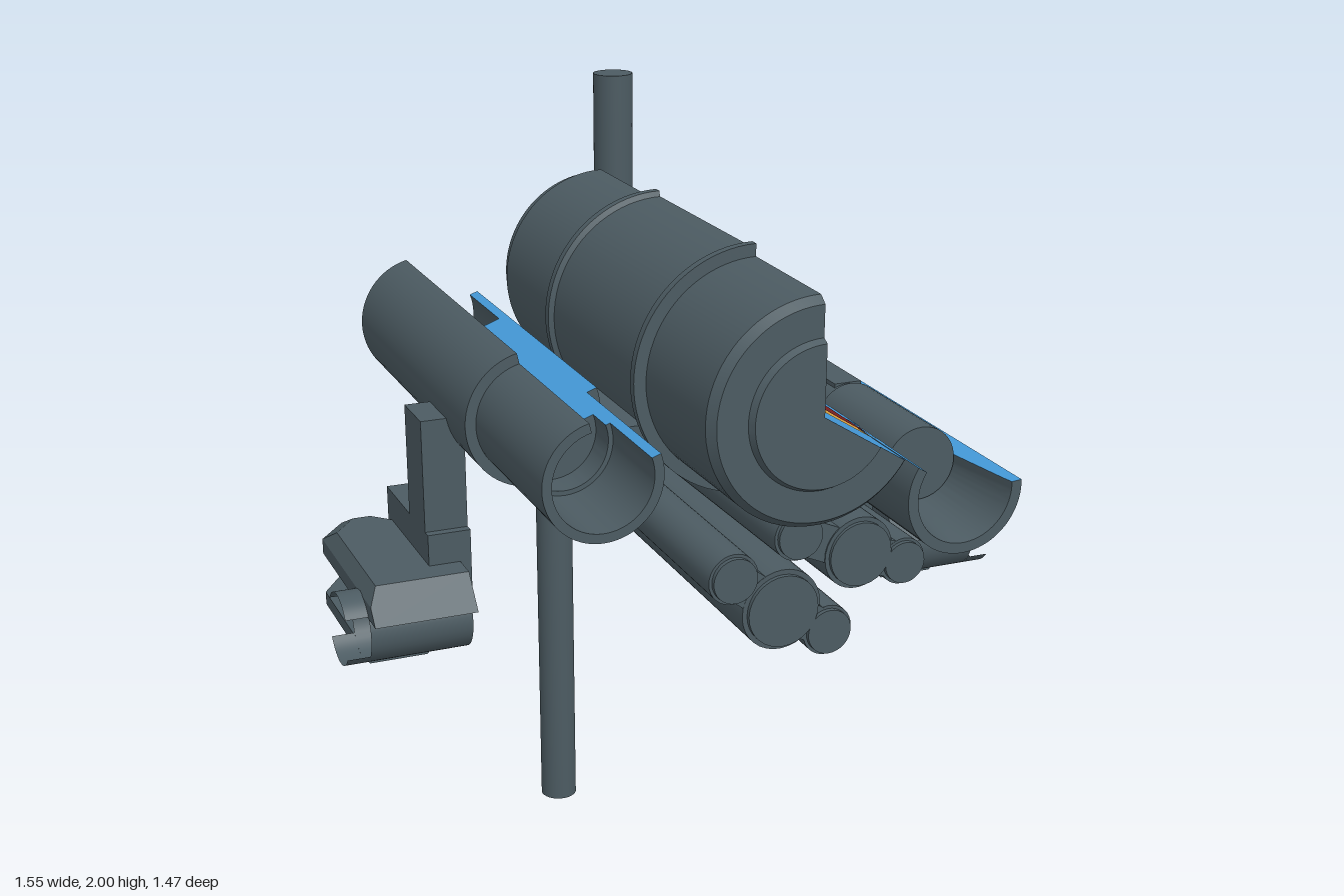
import * as THREE from 'three';
import { toCreasedNormals } from 'three/addons/utils/BufferGeometryUtils.js';
import { ConvexGeometry } from 'three/addons/geometries/ConvexGeometry.js';

const flat = (name, color) => Object.assign(
  new THREE.MeshStandardMaterial({ color, side: THREE.DoubleSide }), { name });
const V = (x, y, z) => new THREE.Vector3(x, y, z);
const rad = THREE.MathUtils.degToRad;

export function createModel() {
  const steel = flat('dark steel', 0x4c5b62);
  const cut = flat('cut face blue', 0x4499d8);
  const red = flat('winding red', 0x7a2020);
  const amber = flat('bobbin amber', 0xd9a040);
  const model = new THREE.Group();

  const add = (parent, name, geo, mat = steel) => {
    const m = new THREE.Mesh(geo, mat);
    m.name = name;
    parent.add(m);
    return m;
  };
  const box = (parent, name, x0, x1, y0, y1, z0, z1, mat) => {
    const m = add(parent, name, new THREE.BoxGeometry(x1 - x0, y1 - y0, z1 - z0), mat);
    m.position.set((x0 + x1) / 2, (y0 + y1) / 2, (z0 + z1) / 2);
    return m;
  };
  // Cylinder between two points
  const rod = (parent, name, a, b, r) => {
    const m = add(parent, name, new THREE.CylinderGeometry(r, r, a.distanceTo(b), 32));
    m.position.copy(a).lerp(b, 0.5);
    m.quaternion.setFromUnitVectors(V(0, 1, 0), b.clone().sub(a).normalize());
    return m;
  };
  // Flat (radius, z) outline standing on the radial plane at an angle; side +1 / -1 shifts it out of the solid
  const radialFace = (parent, name, pts, deg, side, offset, mat) => {
    const t = rad(deg), c = Math.cos(t), s = Math.sin(t);
    const geo = new THREE.ShapeGeometry(new THREE.Shape(pts.map(p => new THREE.Vector2(...p))));
    geo.translate(0, 0, side * offset);
    geo.applyMatrix4(new THREE.Matrix4().makeBasis(V(c, s, 0), V(0, 0, 1), V(s, -c, 0)));
    if (side < 0) {
      const i = geo.index.array;
      for (let k = 0; k < i.length; k += 3) [i[k], i[k + 1]] = [i[k + 1], i[k]];
      geo.computeVertexNormals();
    }
    return add(parent, name, geo, mat);
  };
  // Turned body along z with a wedge removed and blue faces on the cuts
  const cutaway = (name, x, y, pts, from, to) => {
    const g = new THREE.Group();
    g.name = name;
    g.position.set(x, y, 0);
    const ring = [...pts, pts[0]].map(p => new THREE.Vector2(...p));
    const geo = new THREE.LatheGeometry(ring, 56, rad(from + 90), rad(to - from));
    geo.rotateX(Math.PI / 2);
    add(g, name + 'Shell', toCreasedNormals(geo, rad(35)));
    radialFace(g, name + 'CutA', pts, from, 1, 0, cut);
    radialFace(g, name + 'CutB', pts, to, -1, 0, cut);
    model.add(g);
    return g;
  };

  // Main drum
  const drum = cutaway('mainDrum', 0.09, 1.55, [
    [0, -0.53], [0.228, -0.53], [0.232, -0.485], [0.245, -0.475], [0.245, -0.13], [0.27, -0.13],
    [0.27, -0.11], [0.258, -0.105], [0.258, 0.38], [0.27, 0.385], [0.27, 0.405], [0.243, 0.405],
    [0.24, 0.7], [0.225, 0.72], [0.158, 0.72], [0.15, 0.735], [0, 0.735]], 90, 328);

  // Coil sections on both cut planes
  for (const [deg, side] of [[90, 1], [328, -1]]) {
    for (const [z0, z1] of [[0.21, 0.615], [-0.4, 0.005]]) {
      radialFace(drum, 'bobbin', [[0.072, z0], [0.207, z0], [0.207, z1], [0.072, z1]], deg, side, 0.003, amber);
      radialFace(drum, 'winding', [[0.1, z0 + 0.03], [0.12, z0 + 0.015], [0.204, z0 + 0.008],
        [0.204, z1 - 0.012], [0.12, z1 - 0.02], [0.1, z1 - 0.035]], deg, side, 0.006, red);
    }
  }
  // Axial electrodes with ball tips
  for (const [z0, z1, tip] of [[0.19, 0.59, 0.19], [-0.365, 0.035, 0.035]]) {
    rod(drum, 'electrodeRod', V(0, 0, z0), V(0, 0, z1), 0.024);
    const ball = add(drum, 'electrodeTip', new THREE.SphereGeometry(0.035, 24, 16));
    ball.position.z = tip;
  }
  // Web between the drum and the open tube
  const web = new THREE.Group();
  web.name = 'web';
  web.rotation.z = rad(-32);
  drum.add(web);
  box(web, 'webPlate', 0.2, 0.32, -0.06, -0.002, -0.5, 0.38);
  box(web, 'webCutFace', 0.235, 0.32, -0.003, 0.001, -0.498, 0.378, cut);

  // Closed tube with stepped bore, on the right
  cutaway('boredTube', -0.368, 1.475, [
    [0.128, -0.48], [0.148, -0.48], [0.148, 0.32], [0.125, 0.32], [0.125, 0.72], [0.105, 0.72],
    [0.105, 0.5], [0.095, 0.5], [0.095, 0.43], [0.034, 0.43], [0.034, 0.32], [0.02, 0.31],
    [0.02, 0.21], [0.03, 0.2], [0.03, -0.26], [0.128, -0.26]], 103, 380);
  box(model, 'tubeStrap', -0.24, -0.13, 1.41, 1.45, -0.1, 0.375);

  // Open tube with its core, on the left
  const trough = cutaway('openTube', 0.428, 1.338, [
    [0.108, -0.48], [0.133, -0.48], [0.133, 0.72], [0.11, 0.72], [0.105, 0.69], [0.085, 0.53],
    [0.085, -0.34], [0.105, -0.45]], 148, 365);
  const core = add(trough, 'core', toCreasedNormals(new THREE.LatheGeometry([
    [0, -0.345], [0.07, -0.345], [0.075, -0.32], [0.082, -0.31], [0.082, -0.02], [0.077, -0.015],
    [0.077, 0.2], [0.082, 0.205], [0.082, 0.53], [0, 0.53]].map(p => new THREE.Vector2(...p)), 40), rad(35)));
  core.rotation.x = Math.PI / 2;
  box(trough, 'corePad', -0.033, 0.033, 0.06, 0.079, 0, 0.19);

  // Lobed manifolds: three merged tubes, drifting sideways and upward to the rear
  const manifold = (name, lobes, dx, dy) => {
    const g = new THREE.Group();
    g.name = name;
    const zf = 0.65, zr = -0.49;
    lobes.forEach(([x, y, r], i) => {
      const rear = V(x + dx, y + dy, zr);
      rod(g, 'lobe', V(x, y, zf - 0.012), rear, r);
      rod(g, 'lobeFace', V(x, y, zf), V(x, y, zf - 0.03), r * 0.88);
      if (i !== 1) rod(g, 'rearPort', rear, V(x + dx, y + dy, zr - 0.03), r * 0.6);
      if (i < 2) {
        const [x2, y2] = lobes[i + 1];
        const w = Math.hypot(x2 - x, y2 - y);
        const shear = new THREE.BoxGeometry(w, 0.08, zf - zr - 0.02);
        shear.rotateZ(Math.atan2(y2 - y, x2 - x));
        const p = shear.attributes.position;
        for (let k = 0; k < p.count; k++) {
          const rearward = p.getZ(k) < 0 ? 1 : 0;
          p.setXY(k, p.getX(k) + dx * rearward, p.getY(k) + dy * rearward);
        }
        shear.computeVertexNormals();
        add(g, 'lobeBridge', shear).position.set((x + x2) / 2, (y + y2) / 2, (zf + zr) / 2);
      }
    });
    model.add(g);
  };
  manifold('lowerManifold', [[-0.055, 1.19, 0.056], [0.055, 1.105, 0.09], [0.163, 1.04, 0.056]], -0.025, 0.025);
  manifold('upperManifold', [[0.09, 1.265, 0.056], [0.23, 1.205, 0.08], [0.335, 1.17, 0.052]], -0.06, 0.035);

  // Bent pipes
  const pipe = (name, x, y, z, yEnd) => {
    const s = Math.sign(yEnd - y), b = 0.11;
    const path = new THREE.CurvePath();
    path.add(new THREE.LineCurve3(V(x, y, -0.44), V(x, y, z + b)));
    path.add(new THREE.CubicBezierCurve3(V(x, y, z + b), V(x, y, z + b * 0.45),
      V(x, y + s * b * 0.55, z), V(x, y + s * b, z)));
    path.add(new THREE.LineCurve3(V(x, y + s * b, z), V(x, yEnd, z)));
    add(model, name, new THREE.TubeGeometry(path, 80, 0.048, 28));
    rod(model, name + 'End', V(x, yEnd, z), V(x, yEnd - s * 0.01, z), 0.047);
  };
  pipe('lowerPipe', 0.03, 1.125, -0.685, 0);
  pipe('upperPipe', 0.17, 1.24, -0.598, 2);

  // Clamps hanging on both sides
  for (const s of [1, -1]) {
    const g = new THREE.Group();
    g.name = s > 0 ? 'leftClamp' : 'rightClamp';
    model.add(g);
    const hull = (name, layers) => add(g, name, toCreasedNormals(new ConvexGeometry(
      layers.flatMap(([y, pts]) => pts.map(([x, z]) => V(s * x, y, z)))), 0.1));
    hull('upperJaw', [
      [1.06, [[0.5, 0.32], [0.725, 0.32], [0.725, -0.12], [0.66, -0.2], [0.6, -0.2], [0.5, -0.04]]],
      [1.095, [[0.725, 0.29], [0.725, -0.12], [0.66, -0.2], [0.6, -0.2], [0.5, -0.04]]],
      [1.13, [[0.5, 0.26], [0.705, 0.26], [0.705, -0.06], [0.65, -0.13], [0.61, -0.13], [0.5, -0.02]]]]);
    hull('lowerJaw', [
      [0.965, [[0.53, 0.14], [0.725, 0.14], [0.725, -0.12], [0.67, -0.2], [0.58, -0.2], [0.53, -0.1]]],
      [0.935, [[0.53, 0.14], [0.725, 0.14], [0.725, -0.12], [0.67, -0.2], [0.58, -0.2], [0.53, -0.1]]],
      [0.895, [[0.565, 0.14], [0.695, 0.14], [0.695, -0.09], [0.66, -0.14], [0.6, -0.14], [0.565, -0.08]]]]);
    const span = (name, x0, x1, y0, y1, z0, z1) =>
      box(g, name, Math.min(s * x0, s * x1), Math.max(s * x0, s * x1), y0, y1, z0, z1);
    span('post', 0.475, 0.57, 1.06, s > 0 ? 1.27 : 1.45, 0.06, 0.18);
    span('postFoot', 0.475, 0.57, 1.06, 1.2, -0.12, 0.2);
    // Thin sleeve and its two protruding lips
    const sleeve = (name, x0, x1, start, sweep) => {
      const geo = new THREE.CylinderGeometry(0.08, 0.08, x1 - x0, 32, 1, true, start, sweep);
      geo.rotateZ(Math.PI / 2);
      add(g, name, geo).position.set(s * (x0 + x1) / 2, 1.018, 0.2);
    };
    sleeve('sleeve', 0.5, 0.725, 0, Math.PI * 2);
    for (const mid of [90, 270]) sleeve('sleeveLip', 0.725, 0.775, rad(mid - 55), rad(110));
  }
  return model;
}
